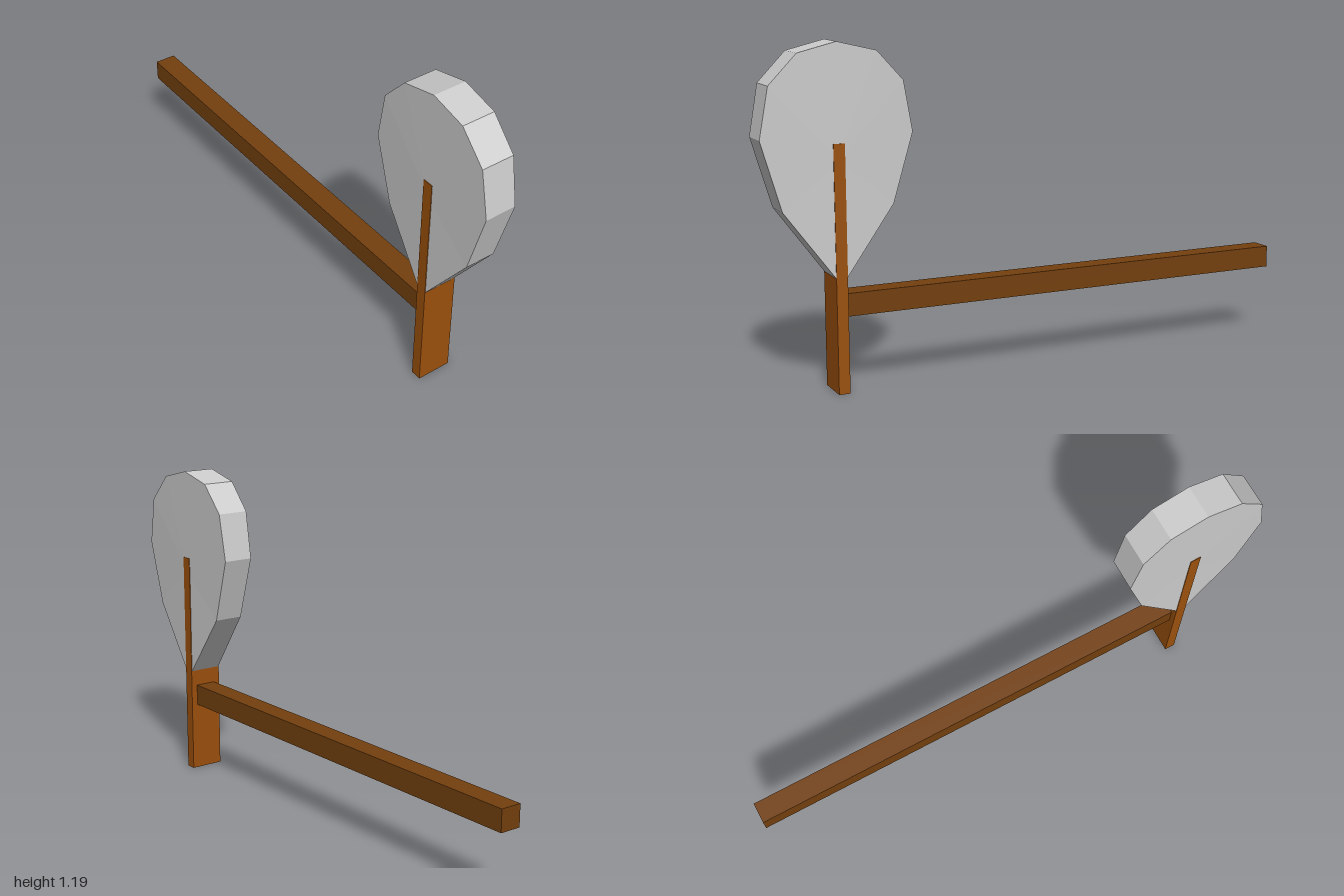
import * as THREE from 'three';

function material(name, color) {
  const m = new THREE.MeshStandardMaterial({ color, flatShading: true });
  m.name = name;
  return m;
}

// Stone blade: rim of [z, y, half width], closed by a slightly bulging fan on each side
function bladeGeometry() {
  const rim = [
    [0.735, 1.19, 0.062], [0.87, 1.157, 0.062], [0.968, 1.055, 0.061], [1.0, 0.88, 0.058],
    [0.93, 0.64, 0.056], [0.752, 0.40, 0.062], [0.716, 0.40, 0.062], [0.543, 0.64, 0.056],
    [0.472, 0.88, 0.058], [0.504, 1.055, 0.061], [0.597, 1.157, 0.062],
  ];
  const point = ([z, y, w], side) => [side * w, y, z];
  const centre = [0.735, 0.80, 0.062];
  const pos = [];
  rim.forEach((a, i) => {
    const b = rim[(i + 1) % rim.length];
    const la = point(a, 1), lb = point(b, 1), ra = point(a, -1), rb = point(b, -1);
    pos.push(...la, ...ra, ...rb, ...la, ...rb, ...lb);
    pos.push(...point(centre, 1), ...la, ...lb);
    pos.push(...point(centre, -1), ...rb, ...ra);
  });
  const g = new THREE.BufferGeometry();
  g.setAttribute('position', new THREE.Float32BufferAttribute(pos, 3));
  g.computeVertexNormals();
  return g;
}

export function createModel() {
  const group = new THREE.Group();
  const add = (name, geometry, mat, x = 0, y = 0, z = 0) => {
    const mesh = new THREE.Mesh(geometry, mat);
    mesh.name = name;
    mesh.position.set(x, y, z);
    group.add(mesh);
  };

  // Upright board, running up through the blade
  add('uprightBoard', new THREE.BoxGeometry(0.128, 0.855, 0.04),
    material('lightWood', 0x9c510c), 0, 0.4275, 0.734);
  // Long square beam meeting the back of the board
  add('handleBeam', new THREE.BoxGeometry(0.08, 0.08, 1.72),
    material('darkWood', 0x74400e), 0, 0.302, -0.14);
  // Blade
  add('blade', bladeGeometry(), material('paleGrey', 0xcccccc));
  return group;
}
